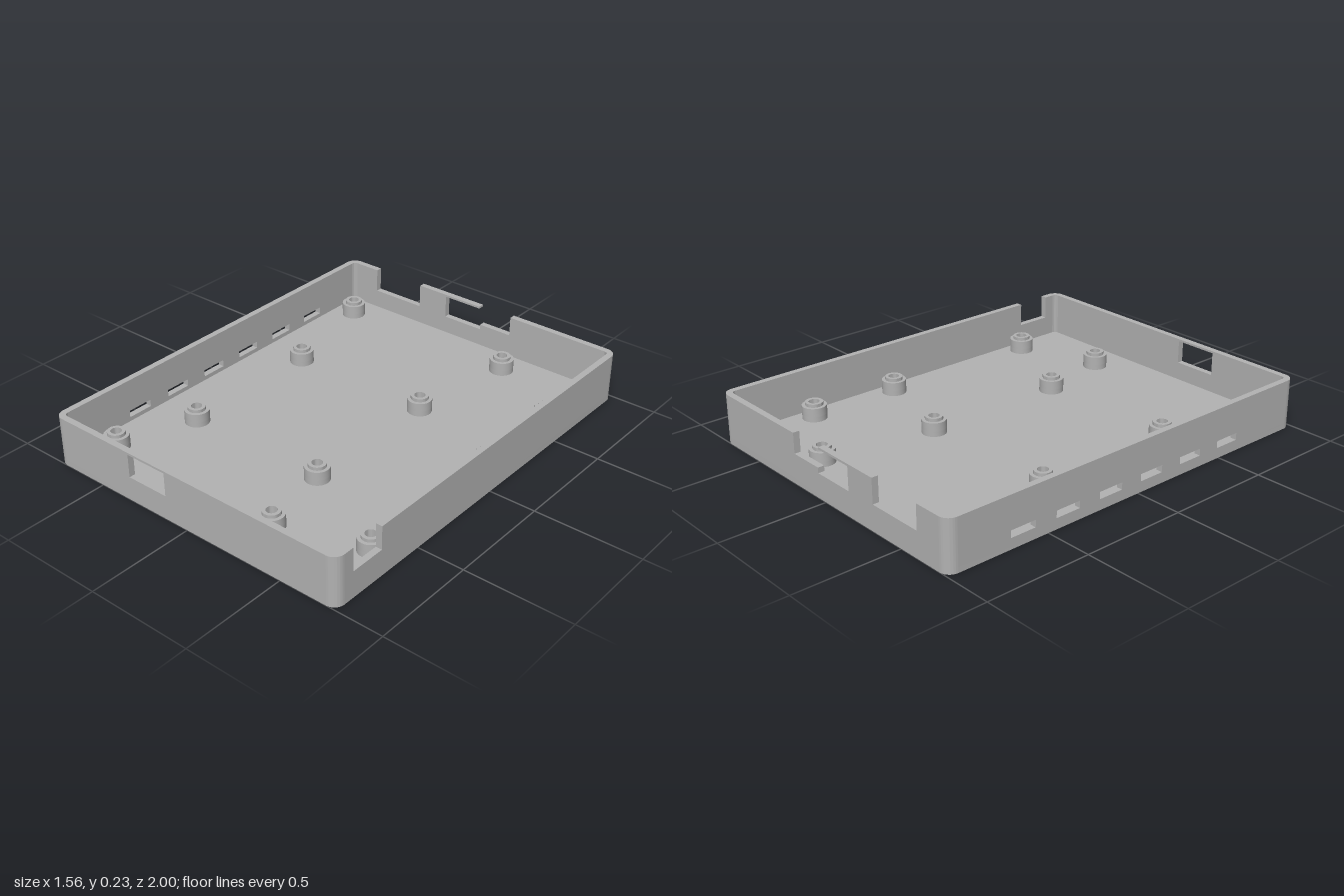
import * as THREE from 'three';
import { toCreasedNormals } from 'three/addons/utils/BufferGeometryUtils.js';

const HX = 0.78, HZ = 1, H = 0.235;   // half width, half length, height
const T = 0.03, FLOOR = 0.03;         // wall and floor thickness
const R = 0.05;                       // outer corner radius
const POCKET = 0.055;                 // top of the hexagonal nut pockets
const HEX_R = 0.035, BOSS_R = 0.057, HOLE_R = 0.025;
const FOOT_R = 0.054, FOOT_DEPTH = 0.012;

// x, z of every screw boss
const bosses = [
  [-0.64, -0.83], [0.27, -0.83], [-0.64, 0.79], [0.27, 0.79],
  [-0.52, -0.29], [0.19, -0.29], [-0.52, 0.42], [0.19, 0.42],
  [0.67, -0.6], [0.67, -0.15], [0.67, 0.66],
];
const feet = [[0.61, -0.84], [0.61, 0.83], [-0.63, -0.63], [-0.63, 0.62]];

const polygon = (pts, Type = THREE.Shape) => new Type(pts.map(([x, y]) => new THREE.Vector2(x, y)));
const rect = (x0, x1, y0, y1) => polygon([[x0, y0], [x1, y0], [x1, y1], [x0, y1]], THREE.Path);
const circle = (x, y, r, Type = THREE.Path) => new Type().absarc(x, y, r, 0, Math.PI * 2, false);
const hexagon = (x, y) => polygon(Array.from({ length: 6 }, (_, i) => {
  const a = i * Math.PI / 3;
  return [x + HEX_R * Math.cos(a), y + HEX_R * Math.sin(a)];
}), THREE.Path);

function extrude(shape, depth) {
  const g = new THREE.ExtrudeGeometry(shape, { depth, bevelEnabled: false, curveSegments: 16 });
  return toCreasedNormals(g, 0.6);
}
// Extrudes a plan shape (drawn with y = -z) upward from y0 to y1
function slab(shape, y0, y1) {
  return extrude(shape, y1 - y0).rotateX(-Math.PI / 2).translate(0, y0, 0);
}

export function createModel() {
  const group = new THREE.Group();
  group.name = 'enclosureBase';
  const plastic = new THREE.MeshStandardMaterial({ color: 0xb2b2b2 });
  plastic.name = 'grey plastic';
  const add = (name, geometry, x = 0, y = 0, z = 0) => {
    const mesh = new THREE.Mesh(geometry, plastic);
    mesh.name = name;
    mesh.position.set(x, y, z);
    group.add(mesh);
  };

  // Floor plate with nut pockets and foot recesses
  const ax = HX - R, az = HZ - R, q = Math.PI / 2;
  const floor = new THREE.Shape();
  floor.absarc(ax, az, R, 0, q, false);
  floor.absarc(-ax, az, R, q, 2 * q, false);
  floor.absarc(-ax, -az, R, 2 * q, 3 * q, false);
  floor.absarc(ax, -az, R, 3 * q, 4 * q, false);
  bosses.forEach(([x, z]) => floor.holes.push(hexagon(x, -z)));
  feet.forEach(([x, z]) => floor.holes.push(circle(x, -z, FOOT_R)));
  add('floor', slab(floor, 0, FLOOR));

  // Discs closing the foot recesses from above
  const recess = slab(circle(0, 0, FOOT_R, THREE.Shape), FOOT_DEPTH, FLOOR);
  feet.forEach(([x, z]) => add('footRecess', recess, x, 0, z));

  // Rounded corner posts
  const corner = new THREE.Shape();
  corner.absarc(0, 0, R, 0, q, false);
  corner.absarc(0, 0, R - T, q, 0, true);
  const cornerGeometry = slab(corner, FLOOR, H);
  [[ax, -az], [-ax, -az], [-ax, az], [ax, az]].forEach(([x, z], i) =>
    add('cornerWall', cornerGeometry.clone().rotateY(i * q), x, 0, z));

  // Front wall with a closed window
  const front = polygon([[-ax, FLOOR], [ax, FLOOR], [ax, H], [-ax, H]]);
  front.holes.push(rect(-0.325, -0.115, 0.115, 0.225));
  add('frontWall', extrude(front, T), 0, 0, HZ - T);

  // Back wall with two notches and a port under a thin free-ended strip
  const back = polygon([
    [-ax, FLOOR], [ax, FLOOR], [ax, H], [0.215, H], [0.215, 0.14], [0.045, 0.14],
    [0.045, 0.115], [-0.165, 0.115], [-0.165, 0.225], [0.035, 0.225], [0.035, H],
    [-0.325, H], [-0.325, 0.12], [-0.6, 0.12], [-0.6, H], [-ax, H],
  ]);
  add('backWall', extrude(back, T), 0, 0, -HZ);

  // Left wall (+x) with one open notch
  const left = polygon([
    [-az, FLOOR], [az, FLOOR], [az, H], [0.9, H], [0.9, 0.125],
    [0.73, 0.125], [0.73, H], [-az, H],
  ]);
  add('leftWall', extrude(left, T).rotateY(-q), HX);

  // Right wall (-x) with a row of vent slots
  const right = polygon([[-az, FLOOR], [az, FLOOR], [az, H], [-az, H]]);
  for (let i = 0; i < 6; i++) {
    const z = -0.63 + i * 0.236;
    right.holes.push(rect(z - 0.063, z + 0.063, 0.05, 0.083));
  }
  add('rightWall', extrude(right, T).rotateY(-q), -HX + T);

  // Screw bosses: hexagonal pocket below, stepped collar and round hole above
  const lower = circle(0, 0, BOSS_R, THREE.Shape);
  lower.holes.push(hexagon(0, 0));
  const lowerGeometry = slab(lower, FLOOR, POCKET);
  const profile = [
    [HOLE_R, POCKET], [BOSS_R, POCKET], [BOSS_R, 0.095], [0.041, 0.095],
    [0.041, 0.11], [HOLE_R, 0.11], [HOLE_R, POCKET],
  ].map(([r, y]) => new THREE.Vector2(r, y));
  const upperGeometry = toCreasedNormals(new THREE.LatheGeometry(profile, 32), 0.6);
  bosses.forEach(([x, z]) => {
    add('bossBase', lowerGeometry, x, 0, z);
    add('bossCollar', upperGeometry, x, 0, z);
  });

  return group;
}
